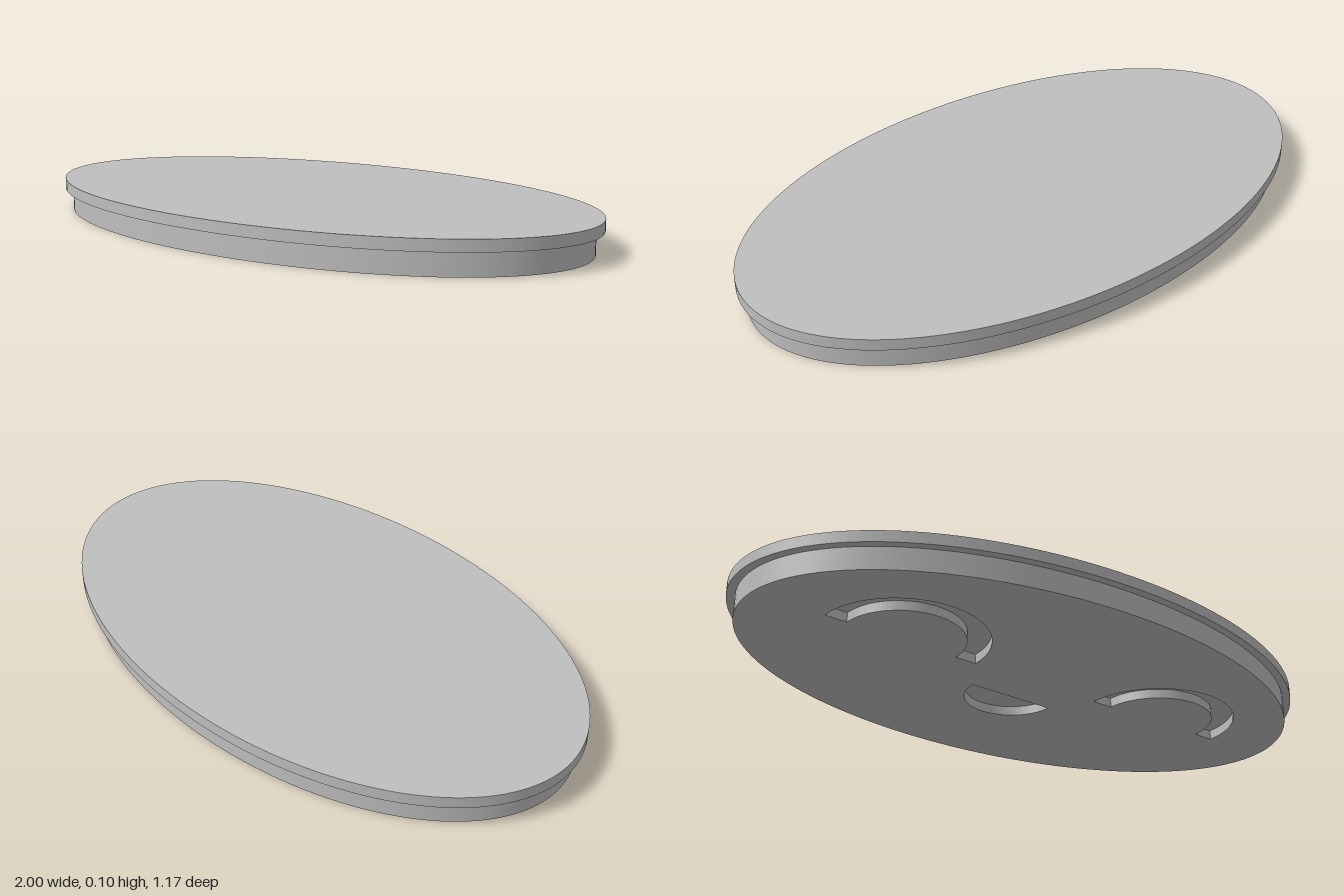
import * as THREE from 'three';
import { toCreasedNormals } from 'three/addons/utils/BufferGeometryUtils.js';

const SEGMENTS = 128;
const POCKET_DEPTH = 0.03;
const BODY_TOP = 0.07;
const TOP = 0.105;

// Solid elliptical disc between two heights
function ellipticDisc(rx, rz, y0, y1) {
  const g = new THREE.CylinderGeometry(1, 1, y1 - y0, SEGMENTS);
  g.scale(rx, 1, rz);
  g.translate(0, (y0 + y1) / 2, 0);
  return g;
}

// Half ring opening towards the back
function halfRing(cx, cz, outer, inner) {
  const p = new THREE.Path();
  p.absarc(cx, cz, outer, 0, Math.PI, false);
  p.absarc(cx, cz, inner, Math.PI, 0, true);
  p.closePath();
  return p;
}

// Half disc bulging towards the back
function halfDisc(cx, cz, r) {
  const p = new THREE.Path();
  p.absarc(cx, cz, r, Math.PI, Math.PI * 2, false);
  p.closePath();
  return p;
}

export function createModel() {
  const group = new THREE.Group();
  group.name = 'ovalPlate';
  const grey = new THREE.MeshStandardMaterial({ color: 0xbfbfbf });
  grey.name = 'light grey';

  const add = (name, geometry) => {
    const mesh = new THREE.Mesh(geometry, grey);
    mesh.name = name;
    group.add(mesh);
  };

  // Wider lid on top
  add('lid', ellipticDisc(1, 0.586, BODY_TOP, TOP));

  // Body core, whose underside is the floor of the pockets
  add('bodyCore', ellipticDisc(0.975, 0.56, POCKET_DEPTH, BODY_TOP));

  // Bottom layer with two half-ring pockets and a half-disc pocket
  const outline = new THREE.Shape();
  outline.absellipse(0, 0, 0.975, 0.56, 0, Math.PI * 2, false);
  for (const side of [-1, 1]) outline.holes.push(halfRing(side * 0.49, 0.033, 0.258, 0.187));
  outline.holes.push(halfDisc(0, -0.097, 0.148));

  const layer = new THREE.ExtrudeGeometry(outline, {
    depth: POCKET_DEPTH, bevelEnabled: false, curveSegments: SEGMENTS / 2,
  });
  layer.rotateX(Math.PI / 2);
  layer.translate(0, POCKET_DEPTH, 0);
  add('pocketedBase', toCreasedNormals(layer, 0.5));

  return group;
}
